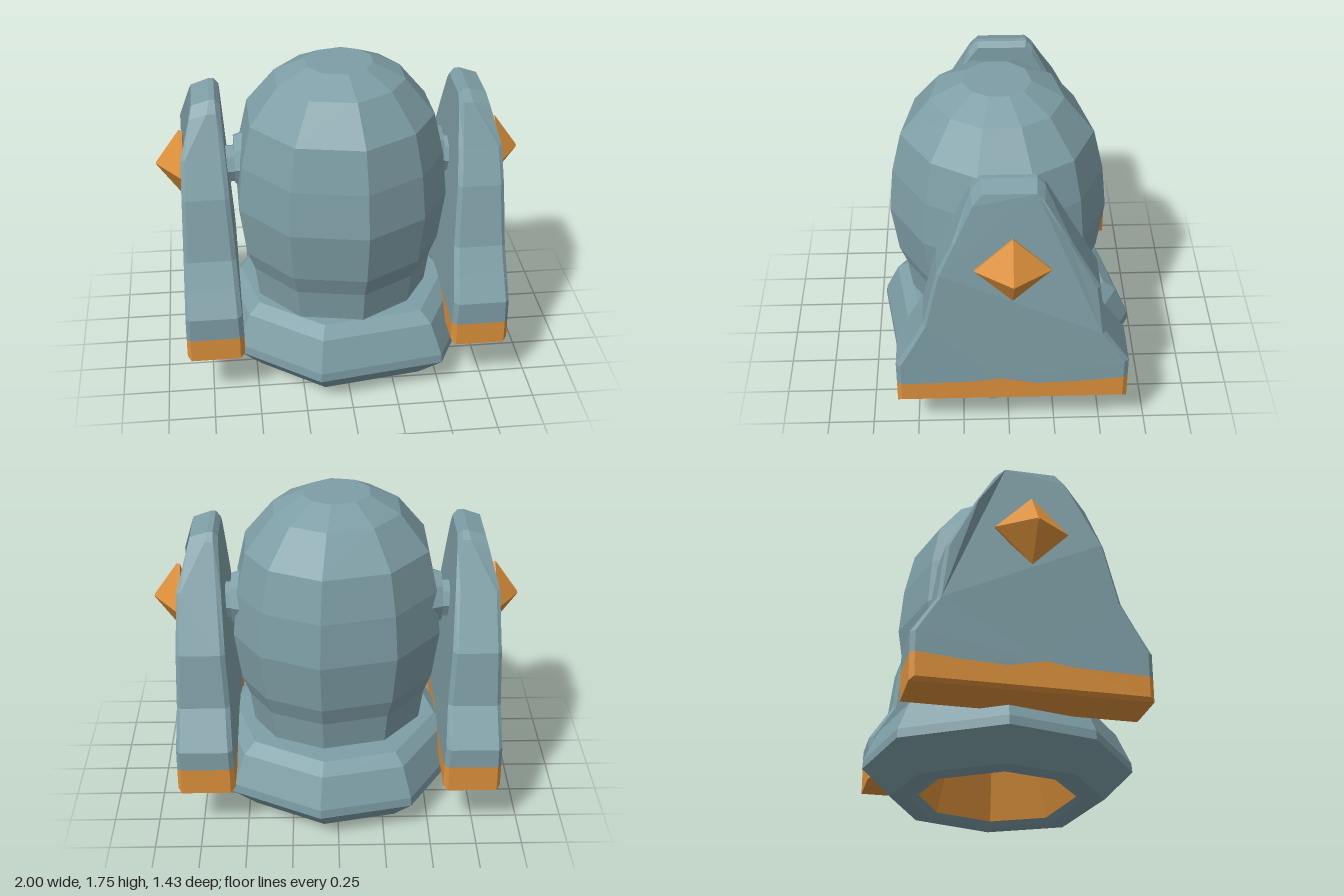
import * as THREE from 'three';

const slate = new THREE.MeshStandardMaterial({ color: 0x7e9ea6 });
slate.name = 'slateBlue';
const orange = new THREE.MeshStandardMaterial({ color: 0xdc903b });
orange.name = 'orange';

// Mesh with one hard normal per face
function faceted(name, geometry, material) {
  const geo = geometry.index ? geometry.toNonIndexed() : geometry;
  geo.computeVertexNormals();
  const mesh = new THREE.Mesh(geo, material);
  mesh.name = name;
  return mesh;
}

// Skin joining equal-length rings, with optional triangles closing both ends
function loft(rings, capFaces = []) {
  const n = rings[0].length;
  const index = [];
  for (let r = 0; r < rings.length - 1; r++) {
    for (let i = 0; i < n; i++) {
      const a = r * n + i, b = r * n + (i + 1) % n;
      index.push(a, b, b + n, a, b + n, a + n);
    }
  }
  const last = (rings.length - 1) * n;
  for (const [a, b, c] of capFaces) index.push(a, c, b, last + a, last + b, last + c);
  const geo = new THREE.BufferGeometry();
  geo.setAttribute('position', new THREE.Float32BufferAttribute(rings.flat(2), 3));
  geo.setIndex(index);
  return geo;
}

// Uneven plans of the skirt and the dome, [x, z]
const skirtPlan = [[-0.17, 0.71], [0.51, 0.6], [0.75, 0.1], [0.58, -0.46],
  [0.1, -0.72], [-0.4, -0.61], [-0.71, -0.1], [-0.6, 0.38]];
const domePlan = [[0.1, 0.59], [0.42, 0.4], [0.58, 0.13], [0.57, -0.2], [0.42, -0.45],
  [0.1, -0.595], [-0.31, -0.5], [-0.56, -0.2], [-0.56, 0.2], [-0.31, 0.51]];

// Copies of a plan, each scaled and raised by a [scale, y] step
const planLoft = (plan, steps) => loft(steps.map(([scale, y]) =>
  plan.map(([x, z]) => [x * scale, y, z * scale])));

// Arm silhouette, [z, y]
const band = [[0.6, 0.4], [0.2, 0.41], [0.05, 0.43], [-0.15, 0.39], [-0.4, 0.4], [-0.63, 0.42]];
const armOutline = [...band, [-0.63, 0.53], [-0.5, 0.73], [-0.46, 1.03], [-0.305, 1.32], [-0.18, 1.56],
  [-0.14, 1.6], [0.14, 1.6], [0.19, 1.54], [0.285, 1.32], [0.37, 1.13], [0.45, 0.8], [0.52, 0.67],
  [0.6, 0.53]];
const trimOutline = [[0.6, 0.27], [-0.63, 0.27], ...[...band].reverse()];

// Width of the arm narrows with height
const outerX = y => 0.87 - Math.max(0, y - 0.5) * 0.026 - Math.max(0, y - 1.32) * 0.26;
const innerX = y => 0.56 + Math.max(0, y - 0.4) * 0.058;
const inset = ([z, y]) =>
  [-0.015 + (z + 0.015) * 0.96, y > 1.5 ? y - 0.03 : y < 0.3 ? y + 0.02 : y];

// Bevelled slab following an outline
function armSlab(outline, side) {
  const shift = side < 0 ? 0.012 : 0;
  const small = outline.map(inset);
  const ring = (points, xOf) => points.map(([z, y]) => [side * (xOf(y) + shift), y, z]);
  const rings = [
    ring(small, innerX),
    ring(outline, y => innerX(y) + 0.025),
    ring(outline, y => outerX(y) - (y > 1.5 ? 0.085 : 0.02)),
    ring(small, outerX),
  ];
  if (side < 0) rings.reverse();
  const flat = small.map(([z, y]) => new THREE.Vector2(-z, y));
  return loft(rings, THREE.ShapeUtils.triangulateShape(flat, []));
}

// Cylinder lying along x from x0 out to x1 (mirrored by side)
function axial(name, r0, r1, x0, x1, sides, material, side, y, z) {
  const geo = new THREE.CylinderGeometry(r1, r0, x1 - x0, sides);
  geo.rotateZ(-side * Math.PI / 2);
  geo.translate(side * (x0 + x1) / 2, y, z);
  return faceted(name, geo, material);
}

export function createModel() {
  const model = new THREE.Group();
  model.name = 'domedRobot';

  // Ten-sided domed body
  const dome = faceted('domeBody', planLoft(domePlan, [[0.81, 0.36], [0.83, 0.45], [0.865, 0.6],
    [0.935, 0.71], [1, 0.99], [0.96, 1.24], [0.87, 1.47], [0.6, 1.665], [0.31, 1.75], [0, 1.75]]), slate);
  dome.position.set(-0.005, 0, 0.045);
  model.add(dome);

  // Heavy skirt with a hollow underside
  model.add(faceted('skirt', planLoft(skirtPlan, [[0.58, 0.02], [0.64, 0], [0.79, 0.005], [1, 0.155],
    [0.995, 0.205], [0.89, 0.37], [0.79, 0.425], [0.55, 0.43]]), slate));
  model.add(faceted('skirtHollow', planLoft(skirtPlan, [[0, 0.34], [0.46, 0.33], [0.58, 0.02]]), orange));

  // Arms, shoulder joints and studs on both sides
  for (const side of [1, -1]) {
    const arm = new THREE.Group();
    arm.name = side > 0 ? 'leftArm' : 'rightArm';
    arm.add(
      faceted('armPlate', armSlab(armOutline, side), slate),
      faceted('armTrim', armSlab(trimOutline, side), orange),
      axial('shoulderCollar', 0.17, 0.14, 0.49, 0.575, 8, slate, side, 1.16, -0.03),
      axial('shoulderAxle', 0.105, 0.105, 0.56, 0.68, 8, slate, side, 1.14, -0.02),
      axial('studRim', 0.19, 0.195, 0.85, 0.868, 4, orange, side, 1.165, -0.015),
      axial('stud', 0.195, 0.008, 0.868, 1, 4, orange, side, 1.165, -0.015),
    );
    model.add(arm);
  }
  return model;
}
